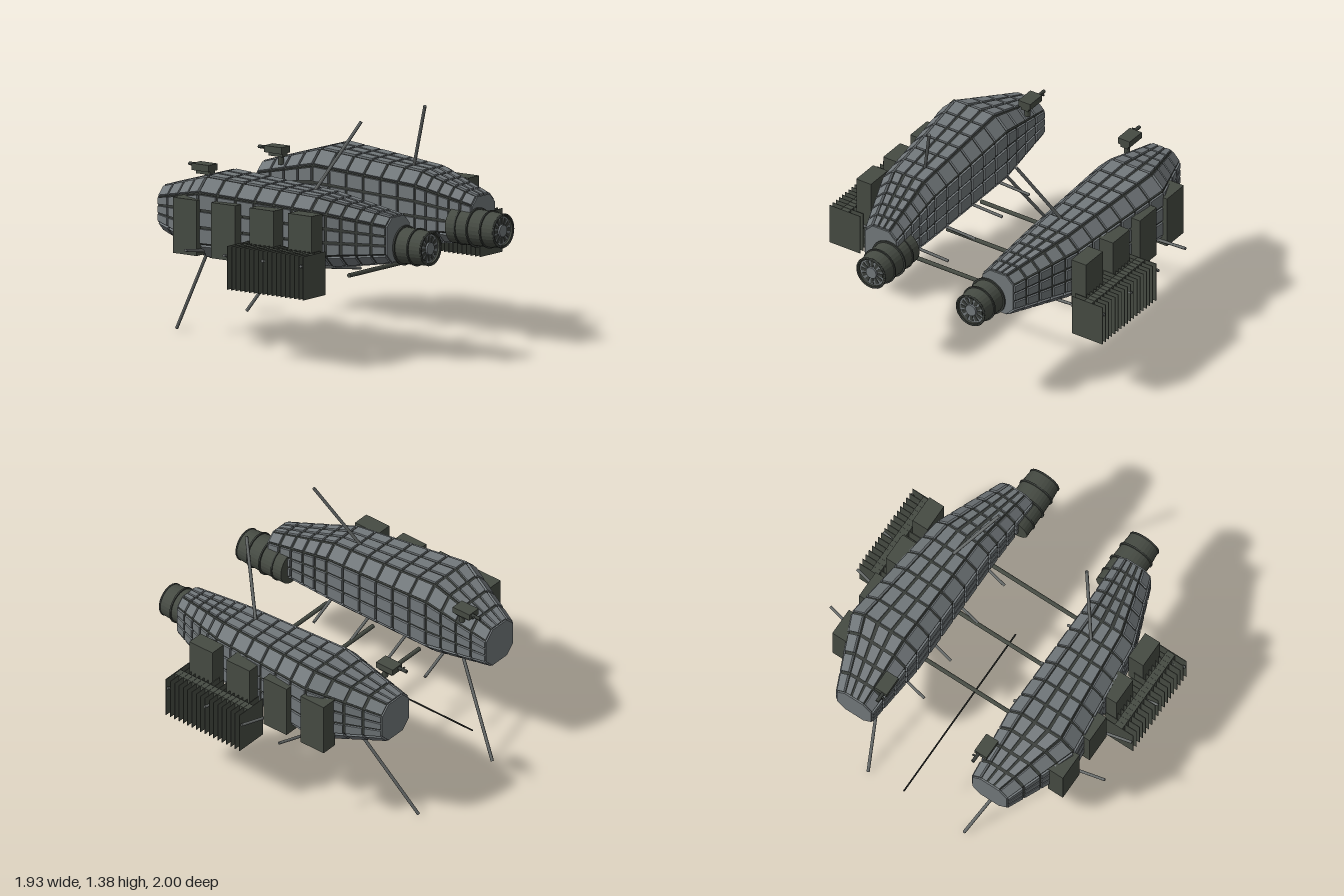
import * as THREE from 'three';
import { mergeGeometries } from 'three/addons/utils/BufferGeometryUtils.js';

const mat = (name, color) => {
  const m = new THREE.MeshStandardMaterial({ color });
  m.name = name;
  return m;
};
const V = (x, y, z) => new THREE.Vector3(x, y, z);

// Hull stations: z, inner x, outer x, bottom y, top y, chamfer
const STATIONS = [
  [-0.81, 0.355, 0.595, 0.63, 0.885, 0.055],
  [-0.38, 0.325, 0.775, 0.538, 1.012, 0.085],
  [0.37, 0.325, 0.685, 0.545, 0.962, 0.075],
  [0.8, 0.305, 0.52, 0.605, 0.87, 0.05],
];
const SEGMENTS = [4, 6, 5];

// Octagon, counter-clockwise seen from +z
function octagon([z, x0, x1, y0, y1, c], inset = 0) {
  x0 += inset; x1 -= inset; y0 += inset; y1 -= inset;
  return [[x1, y0 + c], [x1, y1 - c], [x1 - c, y1], [x0 + c, y1],
    [x0, y1 - c], [x0, y0 + c], [x0 + c, y0], [x1 - c, y0]].map(([x, y]) => V(x, y, z));
}

function fromTriangles(points) {
  const g = new THREE.BufferGeometry().setFromPoints(points);
  g.computeVertexNormals();
  return g;
}
const quad = (a, b, c, d) => [a, b, c, a, c, d];

// Closed dark body under the plating
function coreGeometry() {
  const rings = STATIONS.map((s) => octagon(s, 0.004));
  const t = [];
  for (let s = 0; s < 3; s++) {
    for (let i = 0; i < 8; i++) {
      const j = (i + 1) % 8;
      t.push(...quad(rings[s][i], rings[s][j], rings[s + 1][j], rings[s + 1][i]));
    }
  }
  return fromTriangles(t);
}

// Raised plates with gaps, laid out on every hull facet
function platingGeometry() {
  const rings = STATIONS.map((s) => octagon(s));
  const t = [];
  for (let s = 0; s < 3; s++) {
    for (let i = 0; i < 8; i++) {
      const j = (i + 1) % 8;
      const [a, b, c, d] = [rings[s][i], rings[s][j], rings[s + 1][j], rings[s + 1][i]];
      const n = b.clone().sub(a).cross(d.clone().sub(a)).normalize();
      const cols = i % 2 ? 1 : 3;
      const rows = SEGMENTS[s];
      const at = (u, v, h) => a.clone().lerp(b, u).lerp(d.clone().lerp(c, u), v).addScaledVector(n, h);
      const width = (a.distanceTo(b) + c.distanceTo(d)) / 2;
      const gu = 0.008 / width;
      const gv = 0.008 / a.distanceTo(d);
      for (let p = 0; p < cols; p++) {
        for (let q = 0; q < rows; q++) {
          const uv = [[p / cols + gu, q / rows + gv], [(p + 1) / cols - gu, q / rows + gv],
            [(p + 1) / cols - gu, (q + 1) / rows - gv], [p / cols + gu, (q + 1) / rows - gv]];
          const top = uv.map(([u, v]) => at(u, v, 0.008));
          const low = uv.map(([u, v]) => at(u, v, -0.006));
          t.push(...quad(...top));
          for (let k = 0; k < 4; k++) {
            const m = (k + 1) % 4;
            t.push(...quad(low[k], low[m], top[m], top[k]));
          }
        }
      }
    }
  }
  return fromTriangles(t);
}

function capGeometry(station, z) {
  const shape = new THREE.Shape(octagon(station).map((p) => new THREE.Vector2(p.x, p.y)));
  return new THREE.ExtrudeGeometry(shape, { depth: 0.008, bevelEnabled: false }).translate(0, 0, z);
}

// Box given by its bounds
function box(x0, x1, y0, y1, z0, z1) {
  return new THREE.BoxGeometry(x1 - x0, y1 - y0, z1 - z0)
    .translate((x0 + x1) / 2, (y0 + y1) / 2, (z0 + z1) / 2);
}

// Straight round rod between two points
function rod(a, b, r, sides = 8) {
  const d = b.clone().sub(a);
  const q = new THREE.Quaternion().setFromUnitVectors(V(0, 1, 0), d.clone().normalize());
  const mid = a.clone().add(b).multiplyScalar(0.5);
  return new THREE.CylinderGeometry(r, r, d.length(), sides).applyQuaternion(q).translate(mid.x, mid.y, mid.z);
}

// Mirror across x = 0, with corner order reversed
function mirrored(geometry) {
  const g = geometry.index ? geometry.toNonIndexed() : geometry.clone();
  for (const name of ['position', 'normal']) {
    const at = g.attributes[name];
    for (let i = 0; i < at.count; i += 3) {
      const p = [0, 2, 1].map((k) => [-at.getX(i + k), at.getY(i + k), at.getZ(i + k)]);
      p.forEach((v, k) => at.setXYZ(i + k, ...v));
    }
  }
  return g;
}

export function createModel() {
  const plate = mat('hull plate grey', 0x72787b);
  const dark = mat('equipment dark green grey', 0x464b43);
  const seam = mat('seam dark grey', 0x3a3e3a);
  const metal = mat('rod grey', 0x686c6b);
  const black = mat('needle black', 0x1e201e);
  const model = new THREE.Group();
  model.name = 'twinHullCraft';
  const parts = [];
  const add = (name, material, ...geos) => {
    const flat = geos.map((g) => (g.index ? g.toNonIndexed() : g));
    parts.push([name, material, flat.length > 1 ? mergeGeometries(flat) : flat[0]]);
  };

  // Hull
  add('hullCore', seam, coreGeometry());
  add('hullPlating', plate, platingGeometry());
  add('hullCaps', plate, capGeometry(STATIONS[0], -0.812), capGeometry(STATIONS[3], 0.796));

  // Engine barrel with bands
  const ex = 0.35, ey = 0.69;
  const barrel = [[0, 0.65], [0.108, 0.65], [0.108, 0.8], [0.105, 0.91], [0.098, 0.995],
    [0.086, 0.995], [0.086, 0.965]].map(([r, y]) => new THREE.Vector2(r, y));
  const pts = [];
  barrel.forEach((p) => pts.push(p));
  const lathe = new THREE.LatheGeometry(pts, 28).toNonIndexed();
  lathe.computeVertexNormals();
  add('engineBarrel', dark, lathe.rotateX(Math.PI / 2).translate(ex, ey, 0));
  const disc = (r, z, h) => new THREE.CylinderGeometry(r, r, h, 28)
    .rotateX(Math.PI / 2).translate(ex, ey, z);
  add('engineBands', seam, ...[[0.114, 0.72], [0.118, 0.81], [0.113, 0.905]].map(([r, z]) => disc(r, z, 0.01)),
    new THREE.TorusGeometry(0.097, 0.006, 6, 28).translate(ex, ey, 0.994));

  // Engine face with radial slots and a hub
  add('engineFace', plate, disc(0.088, 0.972, 0.02), disc(0.036, 0.985, 0.02));
  const slots = [];
  for (let i = 0; i < 12; i++) {
    const shape = new THREE.Shape([[0.038, -0.007], [0.076, -0.012], [0.076, 0.012], [0.038, 0.007]]
      .map((p) => new THREE.Vector2(...p)));
    slots.push(new THREE.ExtrudeGeometry(shape, { depth: 0.004, bevelEnabled: false })
      .rotateZ((i * Math.PI) / 6).translate(ex, ey, 0.981));
  }
  add('engineSlots', seam, ...slots);

  // Equipment boxes along the outer side
  add('sideBoxes', dark, ...[-0.455, -0.175, 0.105, 0.385].map((z) => box(0.705, 0.808, 0.56, 0.89, z - 0.087, z + 0.087)));

  // Radiator: spine and fins
  add('radiatorSpine', dark, box(0.83, 0.882, 0.424, 0.678, -0.03, 0.52));
  const fins = [];
  for (let i = 0; i < 18; i++) {
    const z = -0.031 + (i * 0.555) / 17;
    fins.push(box(0.745, 0.96, 0.422, 0.68, z - 0.002, z + 0.002));
  }
  add('radiatorFins', dark, ...fins);

  // Slanted rods through the hull
  add('slantedRods', metal, ...[-0.457, -0.177, 0.103, 0.383].map((z) => rod(V(0.22, 0.487, z), V(0.963, 0.622, z + 0.125), 0.009)));

  // Long antennas above and below
  add('upperAntenna', metal, rod(V(0.49, 0.94, 0.23), V(0.307, 1.375, 0.455), 0.01));
  add('lowerAntenna', metal, rod(V(0.49, 0.58, -0.5), V(0.337, 0.006, -0.87), 0.01));

  // Small rear turret
  add('turret', dark, box(0.308, 0.392, 0.968, 1.008, -0.72, -0.595), box(0.325, 0.375, 0.948, 0.97, -0.7, -0.6),
    rod(V(0.35, 0.9, -0.63), V(0.35, 0.955, -0.63), 0.018));
  add('turretBarrel', seam, rod(V(0.335, 0.992, -0.71), V(0.335, 0.992, -0.78), 0.011),
    rod(V(0.31, 0.992, -0.742), V(0.345, 0.992, -0.742), 0.006));

  for (const [side, flip] of [['left', false], ['right', true]]) {
    const group = new THREE.Group();
    group.name = side + 'Hull';
    for (const [name, material, g] of parts) {
      const mesh = new THREE.Mesh(flip ? mirrored(g) : g, material);
      mesh.name = name;
      group.add(mesh);
    }
    model.add(group);
  }

  // Cross bars joining both hulls, and the central needle
  for (const z of [-0.25, 0.1, 0.45]) {
    const bar = new THREE.Mesh(rod(V(-0.42, 0.48, z), V(0.42, 0.48, z), 0.013, 10), dark);
    bar.name = 'crossBar';
    model.add(bar);
  }
  const needle = new THREE.Mesh(rod(V(0, 0.481, -1), V(0, 0.481, 0.17), 0.005), black);
  needle.name = 'needle';
  model.add(needle);
  return model;
}
